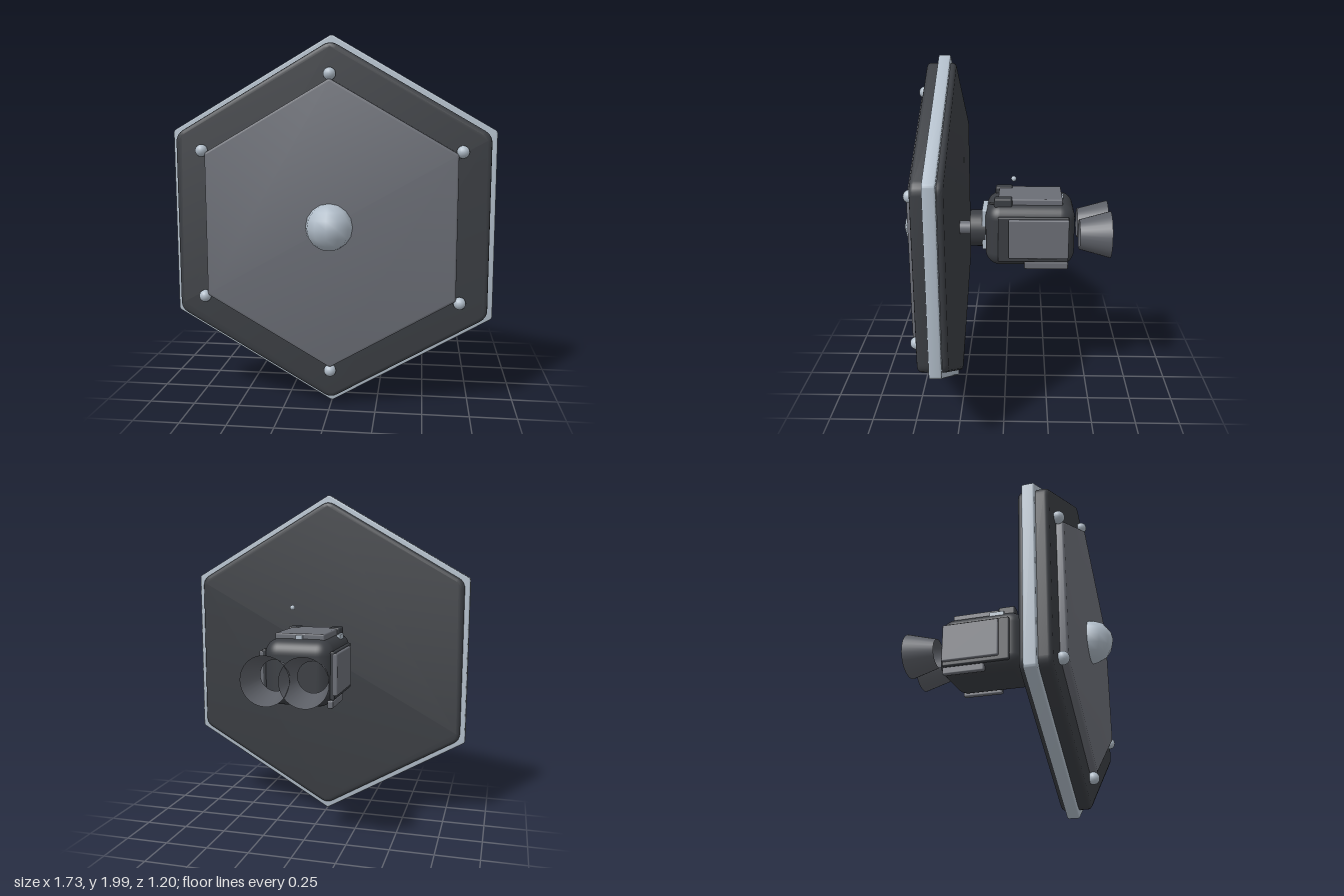
import * as THREE from 'three';
import { toCreasedNormals } from 'three/addons/utils/BufferGeometryUtils.js';
import { RoundedBoxGeometry } from 'three/addons/geometries/RoundedBoxGeometry.js';

const paint = (color, side = THREE.FrontSide) => new THREE.MeshStandardMaterial({ color, side });
const light = paint(0xb0bcc8);
const mid = paint(0x6a6d75);
const dark = paint(0x3a3d42);
const bell = paint(0x5c5f66, THREE.DoubleSide);
const CY = 1; // height of the main axis

function add(parent, name, geometry, material, x, y, z) {
  const mesh = new THREE.Mesh(geometry, material);
  mesh.name = name;
  mesh.position.set(x, y, z);
  parent.add(mesh);
  return mesh;
}

// Box given by its limits, with softened edges
function block(parent, name, material, [x0, x1], [y0, y1], [z0, z1], r = 0.008) {
  const g = new RoundedBoxGeometry(x1 - x0, y1 - y0, z1 - z0, 2, r);
  return add(parent, name, g, material, (x0 + x1) / 2, (y0 + y1) / 2, (z0 + z1) / 2);
}

// Point on a circle, with the first one straight up
function polar(radius, i) {
  const a = Math.PI / 2 + (i * Math.PI) / 3;
  return new THREE.Vector2(radius * Math.cos(a), radius * Math.sin(a));
}

// Bevelled hexagonal plate from z0 to z1, corners rounded over a length c
function hexPlate(parent, name, material, radius, z0, z1, bevel, c) {
  const inner = radius - bevel / Math.cos(Math.PI / 6);
  const shape = new THREE.Shape();
  for (let i = 0; i < 6; i++) {
    const p = polar(inner, i);
    const a = p.clone().lerp(polar(inner, i + 5), c / inner);
    const b = p.clone().lerp(polar(inner, i + 1), c / inner);
    if (i === 0) shape.moveTo(a.x, a.y);
    else shape.lineTo(a.x, a.y);
    shape.quadraticCurveTo(p.x, p.y, b.x, b.y);
  }
  shape.closePath();
  const g = new THREE.ExtrudeGeometry(shape, {
    depth: z1 - z0 - 2 * bevel, bevelEnabled: true, bevelThickness: bevel,
    bevelSize: bevel, bevelSegments: 3, curveSegments: 4,
  });
  add(parent, name, toCreasedNormals(g, 0.6), material, 0, CY, z0 + bevel);
}

// Cylinder or cone along z
function tube(parent, name, material, rFront, rBack, z0, z1, x = 0, y = CY, open = false, sides = 32) {
  const g = new THREE.CylinderGeometry(rFront, rBack, z1 - z0, sides, 1, open);
  g.rotateX(Math.PI / 2);
  return add(parent, name, g, material, x, y, (z0 + z1) / 2);
}

export function createModel() {
  const model = new THREE.Group();
  model.name = 'hexShieldDevice';

  // Hexagonal shield
  const shield = new THREE.Group();
  shield.name = 'shield';
  model.add(shield);
  hexPlate(shield, 'shieldBody', dark, 0.964, 0.27, 0.43, 0.022, 0.03);
  hexPlate(shield, 'shieldRim', light, 1.0, 0.3, 0.365, 0.008, 0.008);
  hexPlate(shield, 'frontPanel', mid, 0.77, 0.42, 0.47, 0.012, 0.004);
  const boss = new THREE.SphereGeometry(0.125, 12, 8);
  add(shield, 'centreBoss', boss, light, 0, CY, 0.475);
  for (let i = 0; i < 6; i++) {
    const p = polar(0.793, i);
    add(shield, 'cornerStud', new THREE.SphereGeometry(0.033, 16, 12), light, p.x, CY + p.y, 0.447);
  }

  // Joint between shield and body
  tube(model, 'neck', mid, 0.04, 0.04, 0.19, 0.28);
  tube(model, 'collar', dark, 0.108, 0.108, 0.115, 0.205);
  block(model, 'collarPlate', light, [-0.1, 0.1], [0.9, 1.14], [0.095, 0.135]);

  // Body
  const body = new THREE.Group();
  body.name = 'body';
  model.add(body);
  add(body, 'bodyShell', new RoundedBoxGeometry(0.39, 0.37, 0.51, 6, 0.085), dark, 0, 1.005, -0.142);
  block(body, 'topPanel', mid, [-0.14, 0.14], [1.17, 1.218], [-0.325, 0.04]);
  block(body, 'rearLatch', light, [-0.02, 0.02], [1.185, 1.21], [-0.336, -0.31], 0.004);
  block(body, 'sideLight', light, [-0.172, -0.148], [1.15, 1.19], [-0.09, 0.0], 0.004);

  for (const s of [-1, 1]) {
    const span = (a, b) => (s > 0 ? [a, b] : [-b, -a]);
    block(body, 'sidePlate', dark, span(0.18, 0.206), [0.865, 1.13], [-0.36, 0.04]);
    block(body, 'sidePanel', mid, span(0.19, 0.222), [0.89, 1.12], [-0.36, -0.02]);
    block(body, 'lowerFlap', mid, span(0.165, 0.198), [0.818, 0.862], [-0.36, -0.11]);
    block(body, 'topClip', dark, span(0.09, 0.155), [1.168, 1.224], [-0.04, 0.062], 0.012);
    // Open thruster bells, widening to the rear
    tube(model, 'thrusterBell', bell, 0.086, 0.135, -0.604, -0.425, s * 0.105, CY, true);
  }

  // Thin rod and the small marker ball above it
  tube(body, 'rod', dark, 0.006, 0.006, -0.2, 0.09, 0.125, 1.19, false, 10);
  add(body, 'markerBall', new THREE.SphereGeometry(0.015, 12, 8), light, 0.125, 1.335, -0.048);

  return model;
}
